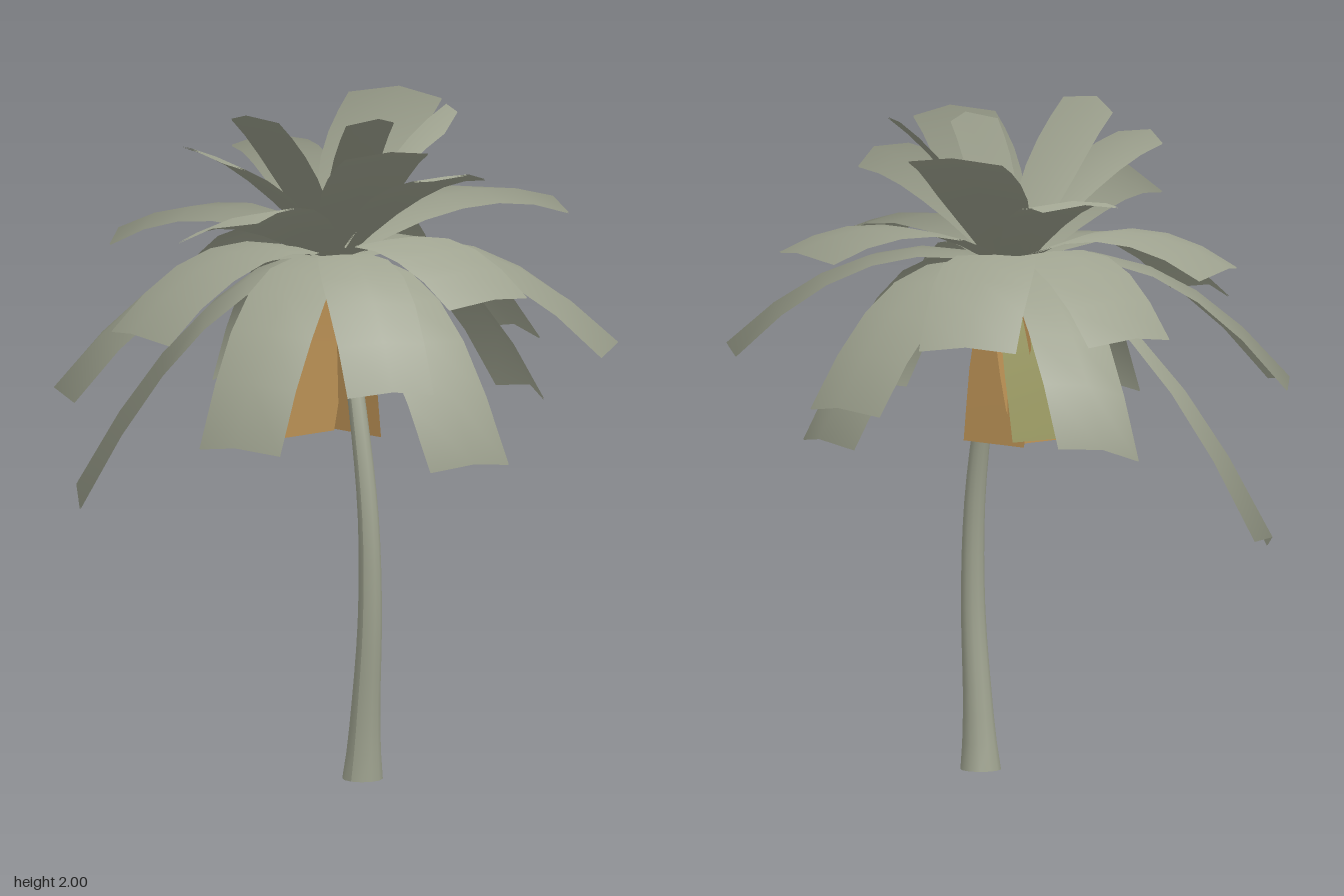
import * as THREE from 'three';

const leafMat = new THREE.MeshStandardMaterial({ color: 0x9ea28f, side: THREE.DoubleSide });
leafMat.name = 'greyGreen';
const brownMat = new THREE.MeshStandardMaterial({ color: 0xbd9356, side: THREE.DoubleSide });
brownMat.name = 'driedBrown';
const oliveMat = new THREE.MeshStandardMaterial({ color: 0x93925a, side: THREE.DoubleSide });
oliveMat.name = 'fadingOlive';

const crown = new THREE.Vector3(0.025, 1.52, 0.035);
const foliageCentre = new THREE.Vector3(0, 0.95, 0);

// Thin arched plate with a shallow central ridge, from the crown to a tip.
// Living fronds share soft normals that spread out from the foliage centre.
function frondGeometry(tip, { width = 0.29, lift, side, twist = 0, point = 0.035, soft = true } = {}) {
  const end = new THREE.Vector3(...tip);
  const out = new THREE.Vector3(end.x - crown.x, 0, end.z - crown.z).normalize();
  const across = side ? new THREE.Vector3(...side).normalize()
    : new THREE.Vector3(out.z, twist, -out.x).normalize();
  const rise = lift ?? Math.min(0.38, 0.1 + 0.3 * (1.95 - end.y));
  const ctrl = crown.clone().lerp(end, 0.5);
  ctrl.y += rise;
  const path = new THREE.QuadraticBezierCurve3(crown, ctrl, end);
  const steps = 6, pos = [], normals = [], index = [];
  for (const face of [1, -1]) {
    const start = pos.length / 3;
    for (let i = 0; i <= steps; i++) {
      const t = i / steps;
      const p = path.getPoint(t);
      const thick = across.clone().cross(path.getTangent(t)).normalize().multiplyScalar(face * 0.0015);
      const half = width / 2 * (0.35 + 0.65 * Math.sin(Math.min(1, t * 1.5) * Math.PI / 2));
      for (const s of [-1, 0, 1]) {
        const v = p.clone().addScaledVector(across, s * half).add(thick);
        if (s) {
          v.addScaledVector(out, -point * t);
          v.y -= point * 0.6 * t;
        }
        pos.push(...v);
        normals.push(...v.sub(foliageCentre).normalize());
      }
      if (i) {
        for (const k of [0, 1]) {
          const a = start + (i - 1) * 3 + k, b = a + 3;
          if (face > 0) index.push(a, a + 1, b + 1, a, b + 1, b);
          else index.push(b + 1, a + 1, a, b, b + 1, a);
        }
      }
    }
  }
  const g = new THREE.BufferGeometry();
  g.setAttribute('position', new THREE.Float32BufferAttribute(pos, 3));
  g.setIndex(index);
  if (soft) g.setAttribute('normal', new THREE.Float32BufferAttribute(normals, 3));
  else g.computeVertexNormals();
  return g;
}

// Bent trunk: a cylinder whose rings follow a curve
function trunkGeometry() {
  const spine = new THREE.CatmullRomCurve3([
    [0.2, 0, 0.145], [0.215, 0.2, 0.152], [0.238, 0.5, 0.162], [0.23, 0.8, 0.16],
    [0.178, 1.1, 0.137], [0.1, 1.35, 0.085], [0.025, 1.55, 0.037],
  ].map(p => new THREE.Vector3(...p)));
  const g = new THREE.CylinderGeometry(1, 1, 1, 12, 20);
  const p = g.attributes.position;
  for (let i = 0; i < p.count; i++) {
    const t = p.getY(i) + 0.5;
    const c = spine.getPointAt(t);
    const r = 0.042 - 0.022 * t + 0.018 * Math.exp(-t * 11);
    p.setXYZ(i, c.x + p.getX(i) * r, c.y, c.z + p.getZ(i) * r);
  }
  g.computeVertexNormals();
  return g;
}

export function createModel() {
  const model = new THREE.Group();
  model.name = 'palmTree';
  const add = (parent, name, geometry, material) => {
    const m = new THREE.Mesh(geometry, material);
    m.name = name;
    parent.add(m);
  };

  add(model, 'trunk', trunkGeometry(), leafMat);

  // Frond tips, from the upright heart of the crown down to the hanging skirt
  const layers = {
    upperFrond: [
      [[-0.07, 2.0, 0.36], { width: 0.22, twist: 0.1 }],
      [[0.42, 1.94, 0.32], { width: 0.26 }], [[0.33, 1.97, -0.16], { width: 0.22, twist: 0.2 }],
      [[0.2, 1.97, 0.06], { width: 0.15, side: [0.09, 0, -0.13] }],
      [[-0.2, 1.9, 0.45], { width: 0.27 }], [[0.52, 1.84, 0.06], { width: 0.26, twist: -0.15 }],
      [[-0.13, 1.93, -0.53]], [[-0.45, 1.79, -0.3], { width: 0.24 }],
    ],
    middleFrond: [
      [[0.06, 1.74, 0.73], { twist: 0.33 }], [[0.33, 1.63, -0.66]], [[-0.66, 1.56, 0.16]],
      [[0.76, 1.53, 0.27]], [[-0.57, 1.39, -0.21]], [[-0.2, 1.4, 0.77], { width: 0.27 }],
      [[-0.28, 1.4, -0.69]],
    ],
    lowerFrond: [
      [[0.62, 1.29, 0.6]], [[0.76, 1.29, -0.37]], [[0.11, 1.2, -0.78]], [[-0.57, 1.17, 0.63]],
      [[0.15, 1.09, 0.74]], [[0.81, 1.07, 0.45]], [[0.29, 1.07, -0.6]],
      [[-0.57, 1.08, -0.39], { twist: -0.2 }],
      [[-0.81, 0.77, 0.16], { side: [0.11, -0.05, 0.24] }],
    ],
  };
  for (const [name, fronds] of Object.entries(layers)) {
    const group = new THREE.Group();
    group.name = name + 's';
    const width = name === 'lowerFrond' ? 0.26 : 0.29;
    for (const [tip, options] of fronds) {
      add(group, name, frondGeometry(tip, { width, ...options }), leafMat);
    }
    model.add(group);
  }

  // Dried fronds hanging close to the trunk
  const dried = new THREE.Group();
  dried.name = 'driedFronds';
  const hang = { lift: 0.08, point: 0, soft: false };
  add(dried, 'brownFrond', frondGeometry([-0.04, 1.0, 0.12], { ...hang, width: 0.25, side: [0.08, 0, -0.24] }), brownMat);
  add(dried, 'brownFrond', frondGeometry([0.055, 1.0, -0.01], { ...hang, width: 0.23, side: [0.23, 0, 0.03] }), brownMat);
  add(dried, 'oliveFrond', frondGeometry([-0.12, 1.03, -0.06], { ...hang, width: 0.15, side: [0.06, 0, -0.12] }), oliveMat);
  model.add(dried);

  return model;
}
